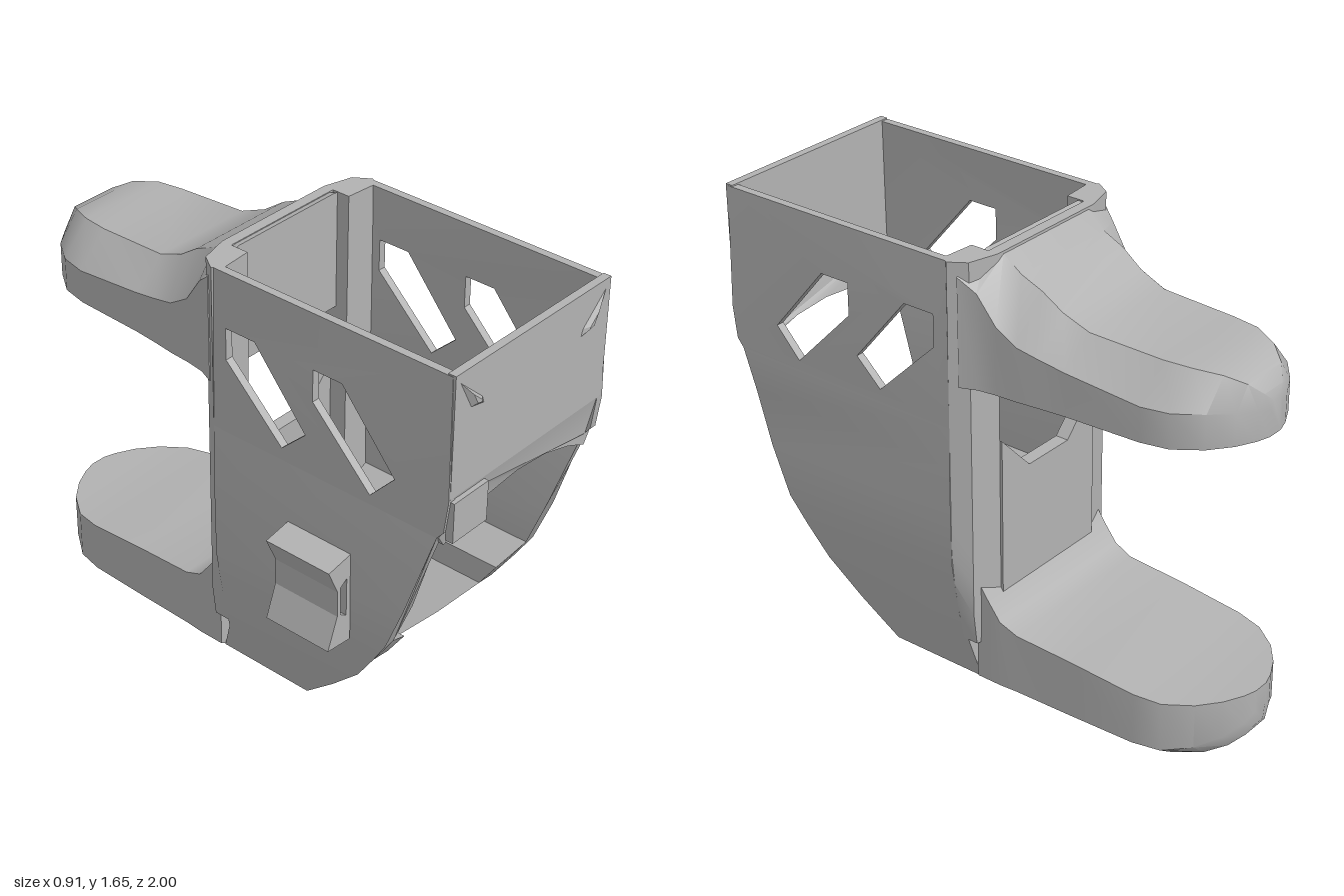
import * as THREE from 'three';
import { toCreasedNormals } from 'three/addons/utils/BufferGeometryUtils.js';

const grey = new THREE.MeshStandardMaterial({ color: 0xb2b2b2 });
grey.name = 'plain grey';

// Piecewise-linear lookup through [key, value] pairs
function lookup(table, k) {
  if (k <= table[0][0]) return table[0][1];
  for (let i = 1; i < table.length; i++) {
    const [k0, v0] = table[i - 1], [k1, v1] = table[i];
    if (k <= k1) return v0 + (v1 - v0) * (k - k0) / (k1 - k0);
  }
  return table[table.length - 1][1];
}

const belly = [[0, 0.25], [0.05, 0.36], [0.18, 0.49], [0.3, 0.61], [0.5, 0.745],
  [0.69, 0.82], [0.92, 0.89], [1.05, 0.94]];            // y -> front z
const outer = [[0, 0.2], [0.04, 0.31], [0.17, 0.34], [0.3, 0.365], [0.42, 0.385],
  [0.52, 0.4], [0.7, 0.403], [0.9, 0.403], [1.05, 0.4]]; // y -> half width

const shapeOf = (pts) => new THREE.Shape(pts.map(([x, y]) => new THREE.Vector2(x, y)));

function extrude(shape, depth, steps = 1) {
  return new THREE.ExtrudeGeometry(shape, { depth, steps, bevelEnabled: false });
}

// Move every vertex by a rule
function deform(geo, rule) {
  const p = geo.attributes.position, v = new THREE.Vector3();
  for (let i = 0; i < p.count; i++) {
    rule(v.fromBufferAttribute(p, i));
    p.setXYZ(i, v.x, v.y, v.z);
  }
  return geo;
}

// Skin closed xy loops that step toward -z
function loft(sections) {
  const pos = [], idx = [], n = sections[0].loop.length, last = (sections.length - 1) * n;
  for (const { z, loop } of sections) for (const [x, y] of loop) pos.push(x, y, z);
  for (let i = 0; i < last; i += n) {
    for (let j = 0; j < n; j++) {
      const k = (j + 1) % n, a = i + j, b = i + k;
      idx.push(a, a + n, b, b, a + n, b + n);
    }
  }
  for (let j = 1; j < n - 1; j++) idx.push(0, j, j + 1, last, last + j + 1, last + j);
  const geo = new THREE.BufferGeometry();
  geo.setAttribute('position', new THREE.Float32BufferAttribute(pos, 3));
  geo.setIndex(idx);
  return geo;
}

export function createModel() {
  const model = new THREE.Group();
  model.name = 'holder';
  const body = new THREE.Group();
  body.name = 'body';
  body.position.x = 0.05;
  model.add(body);

  function add(name, geo, crease = 0.6) {
    const flat = geo.index ? geo.toNonIndexed() : geo;
    flat.computeVertexNormals();
    const mesh = new THREE.Mesh(toCreasedNormals(flat, crease), grey);
    mesh.name = name;
    body.add(mesh);
  }

  // Lower shell: U section with a V-shaped floor, cut off by the curved belly
  const inner = [[0.37, 1.05], [0.36, 0.9], [0.355, 0.7], [0.36, 0.52], [0.25, 0.45],
    [0.25, 0.35], [0.125, 0.255], [0, 0.16]];
  const outside = outer.map(([y, w]) => [w, y]);
  const half = [...outside, ...inner];
  const otherHalf = half.slice(0, -1).reverse().map(([x, y]) => [-x, y]);
  add('lowerShell', deform(extrude(shapeOf([[0, 0], ...half, ...otherHalf]), 1), (v) => {
    v.z = v.z > 0.5 ? lookup(belly, v.y) : (Math.abs(v.x) > 0.335 ? 0 : -0.05);
  }));

  // Upper side walls with slanted windows
  const windows = [
    [[0.548, 1.449], [0.43, 1.449], [0.43, 1.33], [0.67, 1.085], [0.767, 1.19]],
    [[0.184, 1.449], [0.06, 1.449], [0.06, 1.33], [0.3, 1.096], [0.4, 1.19]],
  ];
  for (const x of [0.4, -0.37]) {
    const wall = shapeOf([[0, 1.05], [0.94, 1.05], [0.965, 1.08], [0.98, 1.2], [0.97, 1.65], [0, 1.65]]);
    wall.holes = windows.map(shapeOf);
    const geo = extrude(wall, 0.03).rotateY(-Math.PI / 2).translate(x, 0, 0);
    deform(geo, (v) => { if (v.y > 1.6) v.x *= 0.985; });
    add(x > 0 ? 'leftWall' : 'rightWall', geo, 0.3);
  }

  // Front plate with an arched lower edge that leans inward
  const arch = [[0.37, 1.01], [0.28, 1.05], [0.15, 1.087], [0, 1.1], [-0.15, 1.087], [-0.28, 1.05], [-0.37, 1.01]];
  const apron = shapeOf([[-0.395, 1.21], [-0.395, 1.05], ...arch.slice().reverse(), [0.395, 1.05], [0.395, 1.21]]);
  add('frontApron', deform(extrude(apron, 0.03).translate(0, 0, 0.95), (v) => {
    if (v.y < 1.15) v.z -= 0.035;
  }), 0.3);
  add('frontPlate', new THREE.BoxGeometry(0.785, 0.445, 0.03).translate(0, 1.4325, 0.965));
  add('frontLedge', new THREE.BoxGeometry(0.17, 0.15, 0.03).translate(-0.305, 1.125, 0.98));

  // Small pointed ridges at the upper front corners
  for (const s of [1, -1]) {
    const ridge = [[0.385, 1.64], [0.315, 1.505], [0.24, 1.49], [0.25, 1.52]].map(([x, y]) => [s * x, y]);
    const geo = extrude(shapeOf(ridge), 0.02).translate(0, 0, 0.975);
    deform(geo, (v) => {
      if (v.z > 0.985) {
        v.x += (s * 0.29 - v.x) * 0.7;
        v.y += (1.53 - v.y) * 0.7;
      }
    });
    add('cornerRidge', geo, 0.1);
  }

  // Rear corner posts, sloped on the outside
  for (const s of [1, -1]) {
    const plan = [[0.4, 0], [0.36, 0.06], [0.25, 0.09], [0.25, -0.02], [0.37, -0.03]];
    const geo = extrude(shapeOf(plan.map(([x, y]) => [s * x, y])), 1.45, 12)
      .rotateX(-Math.PI / 2).translate(0, 0.2, 0);
    deform(geo, (v) => { v.x = s * Math.min(Math.abs(v.x), lookup(outer, v.y)); });
    add('rearPost', geo, 0.7);
  }

  // Rear wall, leaving a V-sided opening under the upper arm
  const rear = [[-0.25, 0.05], [0.25, 0.05], [0.25, 0.97], [0.105, 0.82], [-0.105, 0.82], [-0.25, 0.97]];
  add('rearWall', extrude(shapeOf(rear), 0.05).translate(0, 0, -0.1));
  add('upperRearWall', new THREE.BoxGeometry(0.5, 0.45, 0.04).translate(0, 1.425, -0.07));

  // Upper arm: [z, half width, shoulder height, top height]
  const upperArm = [[-0.03, 0.385, 1.6, 1.65], [-0.09, 0.36, 1.55, 1.64], [-0.16, 0.35, 1.45, 1.585],
    [-0.24, 0.345, 1.4, 1.55], [-0.32, 0.335, 1.38, 1.495], [-0.42, 0.325, 1.36, 1.455],
    [-0.7, 0.312, 1.33, 1.445], [-0.8, 0.29, 1.33, 1.443], [-0.89, 0.225, 1.33, 1.43],
    [-0.95, 0.15, 1.32, 1.4], [-0.985, 0.08, 1.31, 1.36], [-1, 0.03, 1.3, 1.33]];
  add('upperArm', loft(upperArm.map(([z, w, side, top]) => ({
    z, loop: [[-w, 1.205], [w, 1.205], [w, side], [0.62 * w, top], [-0.62 * w, top], [-w, side]],
  }))));

  // Lower arm: [z, half width, top height, bottom height]
  const lowerArm = [[-0.05, 0.33, 0.45, 0], [-0.1, 0.33, 0.38, 0], [-0.15, 0.33, 0.315, 0],
    [-0.22, 0.325, 0.285, 0], [-0.45, 0.32, 0.272, 0], [-0.7, 0.312, 0.25, 0], [-0.8, 0.29, 0.242, 0],
    [-0.89, 0.225, 0.24, 0.015], [-0.95, 0.15, 0.24, 0.04], [-0.985, 0.08, 0.24, 0.07], [-1, 0.03, 0.24, 0.1]];
  add('lowerArm', loft(lowerArm.map(([z, w, top, low]) => ({
    z, loop: [[-0.72 * w, low], [0.72 * w, low], [w, low + 0.055], [w, top], [-w, top], [-w, low + 0.055]],
  }))));

  // Flared clip with a slot on the right side
  const clip = shapeOf([[-0.4, 0.82], [-0.51, 0.8], [-0.465, 0.7], [-0.465, 0.6], [-0.51, 0.48], [-0.4, 0.47]]);
  clip.holes.push(shapeOf([[-0.45, 0.71], [-0.42, 0.73], [-0.42, 0.58], [-0.45, 0.6]]));
  add('sideClip', extrude(clip, 0.27).translate(0, 0, 0.33), 0.3);

  return model;
}
